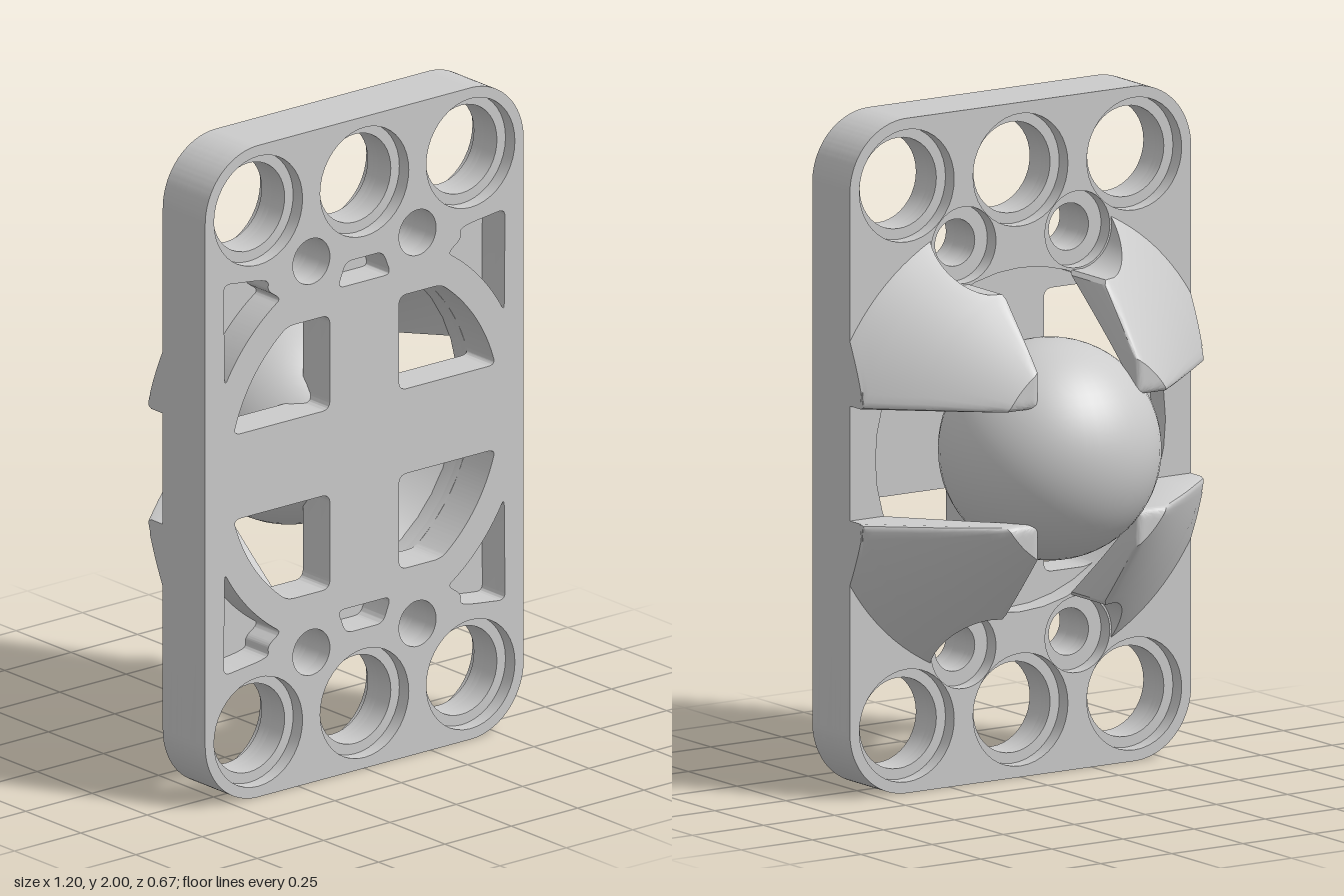
import * as THREE from 'three';
import { mergeGeometries, mergeVertices, toCreasedNormals } from 'three/addons/utils/BufferGeometryUtils.js';

const material = new THREE.MeshStandardMaterial({ color: 0xcccccc });
const QUADRANTS = [[1, 1], [-1, 1], [-1, -1], [1, -1]];
const CAVITY = 0.51;

const circle = (x, y, r) => new THREE.Path().absarc(x, y, r, 0, Math.PI * 2, true);

// Points on an arc round the origin, angles in radians
function arcPoints(r, a, b, n) {
  return Array.from({ length: n + 1 }, (_, i) => {
    const t = a + (b - a) * i / n;
    return [r * Math.cos(t), r * Math.sin(t)];
  });
}

// Closed outline with softened corners, mirrored by sx and sy
function softOutline(points, radius, sx = 1, sy = 1) {
  const pts = points.map(([x, y]) => new THREE.Vector2(x * sx, y * sy));
  const path = new THREE.Path();
  pts.forEach((p, i) => {
    const toward = (q) => {
      const d = q.clone().sub(p);
      return p.clone().addScaledVector(d, Math.min(radius / d.length(), 0.45));
    };
    const a = toward(pts[(i + pts.length - 1) % pts.length]);
    const b = toward(pts[(i + 1) % pts.length]);
    if (i) path.lineTo(a.x, a.y); else path.moveTo(a.x, a.y);
    path.quadraticCurveTo(p.x, p.y, b.x, b.y);
  });
  path.closePath();
  return path;
}

function plateOutline() {
  const s = new THREE.Shape();
  s.absarc(0.4, 0.8, 0.2, 0, Math.PI / 2);
  s.absarc(-0.4, 0.8, 0.2, Math.PI / 2, Math.PI);
  s.absarc(-0.4, -0.8, 0.2, Math.PI, Math.PI * 1.5);
  s.absarc(0.4, -0.8, 0.2, Math.PI * 1.5, Math.PI * 2);
  return s;
}

// Openings of the front face, first quadrant
const windowPoints = [[0.13, 0.13], ...arcPoints(CAVITY, Math.asin(0.13 / CAVITY), Math.asin(0.42 / CAVITY), 8), [0.13, 0.42]];
const pocketPoints = [...arcPoints(0.6, 0.5, 1.02, 8), [0.365, 0.545], [0.36, 0.575], [0.40, 0.585], [0.53, 0.6]];
const slotPoints = [[-0.1, 0.495], [0.1, 0.495], [0.07, 0.57], [-0.07, 0.57]];

// One slice of the plate with its own set of openings
function plateLayer(name, z0, z1, { big, small, windows, pockets }) {
  const shape = plateOutline();
  for (const sy of [1, -1]) {
    for (const x of [-0.4, 0, 0.4]) shape.holes.push(circle(x, 0.8 * sy, big));
    for (const x of [-0.2, 0.2]) shape.holes.push(circle(x, 0.6 * sy, small));
    if (pockets) shape.holes.push(softOutline(slotPoints, 0.025, 1, sy));
  }
  if (!windows) shape.holes.push(circle(0, 0, CAVITY));
  for (const [sx, sy] of QUADRANTS) {
    if (windows) shape.holes.push(softOutline(windowPoints, 0.03, sx, sy));
    if (pockets) shape.holes.push(softOutline(pocketPoints, 0.025, sx, sy));
  }
  const geo = new THREE.ExtrudeGeometry(shape, { depth: z1 - z0, bevelEnabled: false, curveSegments: 20 });
  geo.translate(0, 0, z0);
  const mesh = new THREE.Mesh(toCreasedNormals(geo, 0.4), material);
  mesh.name = name;
  return mesh;
}

// Surface patch over rows and columns of points
function patch(rows, cols, point, flip) {
  const pos = [], idx = [];
  for (const u of rows) for (const v of cols) pos.push(...point(u, v));
  const n = cols.length;
  for (let i = 0; i < rows.length - 1; i++) {
    for (let j = 0; j < n - 1; j++) {
      const a = i * n + j, b = a + n, c = b + 1, d = a + 1;
      idx.push(...(flip ? [a, c, b, a, d, c] : [a, b, c, a, c, d]));
    }
  }
  const geo = new THREE.BufferGeometry();
  geo.setAttribute('position', new THREE.Float32BufferAttribute(pos, 3));
  geo.setIndex(idx);
  return geo;
}

// Conical socket arm: a shell between two cones, trimmed by straight edges,
// the plate side and a round clearance about the small bolt hole
function armGeometry() {
  const EDGE = 0.17, FILLET = 0.02, HOLE = 0.12;
  const holeDist = Math.hypot(0.2, 0.6), holeAngle = Math.atan2(0.6, 0.2);
  const radii = [0.25, 0.265, 0.285, 0.305, 0.328];
  for (let i = 1; i <= 24; i++) radii.push(0.328 + 0.373 * i / 24);
  const cols = [0, 0.01, 0.025, 0.05, 0.1];
  for (let i = 2; i <= 8; i++) cols.push(i / 10);
  cols.push(0.9, 0.95, 0.975, 0.99, 1);

  const low = (r) => Math.max(Math.asin(EDGE / r), r > 0.6 ? Math.acos(0.6 / r) : 0);
  const high = (r) => {
    const c = (r * r + holeDist * holeDist - HOLE * HOLE) / (2 * r * holeDist);
    const edge = Math.acos(EDGE / r);
    return c < 1 ? Math.min(edge, holeAngle - Math.acos(c)) : edge;
  };
  const inner = (r) => Math.min(0.15, -0.2 + (r - 0.25) * 1.31);
  const outer = (r, x, y) => {
    const z = Math.max(-0.208, -0.208 + (r - 0.328) / 1.07);
    const e = Math.max(0, 1 - (Math.min(x, y) - EDGE) / FILLET);
    const drop = FILLET * (1 - Math.sqrt(Math.max(0, 1 - e * e)));
    return Math.min(z + drop, inner(r));
  };
  // t runs across the arm, w from the outer to the inner cone
  const at = (r, t, w) => {
    const a = low(r) + (high(r) - low(r)) * t;
    const x = r * Math.cos(a), y = r * Math.sin(a), z = outer(r, x, y);
    return [x, y, z + (inner(r) - z) * w];
  };
  const geo = mergeGeometries([
    patch(radii, cols, (r, t) => at(r, t, 0), true),
    patch(radii, cols, (r, t) => at(r, t, 1), false),
    patch(radii, [0, 1], (r, w) => at(r, 0, w), false),
    patch(radii, [0, 1], (r, w) => at(r, 1, w), true),
    patch([0, 1], cols, (w, t) => at(radii[0], t, w), true),
  ]);
  return toCreasedNormals(mergeVertices(geo), 0.5);
}

export function createModel() {
  const model = new THREE.Group();
  model.name = 'ballCaster';
  const body = new THREE.Group();
  body.name = 'body';
  body.position.y = 1;
  model.add(body);

  // Mounting plate, from the back face to the front face
  const plate = new THREE.Group();
  plate.name = 'mountingPlate';
  plate.add(
    plateLayer('backFace', 0.14, 0.185, { big: 0.167, small: 0.114 }),
    plateLayer('cavityWall', 0.185, 0.21, { big: 0.135, small: 0.07 }),
    plateLayer('pocketFloor', 0.21, 0.23, { big: 0.135, small: 0.07, windows: true }),
    plateLayer('pocketWall', 0.23, 0.29, { big: 0.135, small: 0.07, windows: true, pockets: true }),
    plateLayer('frontFace', 0.29, 0.333, { big: 0.167, small: 0.07, windows: true, pockets: true }),
  );
  body.add(plate);

  // Four mirrored arms holding the ball
  const armGeo = armGeometry();
  for (const [sx, sy] of QUADRANTS) {
    const arm = new THREE.Mesh(armGeo, material);
    arm.name = (sy > 0 ? 'upper' : 'lower') + (sx > 0 ? 'Left' : 'Right') + 'SocketArm';
    arm.scale.set(sx, sy, 1);
    body.add(arm);
  }

  // Rolling ball
  const ball = new THREE.Mesh(new THREE.SphereGeometry(0.325, 48, 32), material);
  ball.name = 'ball';
  ball.position.z = -0.01;
  body.add(ball);

  return model;
}
